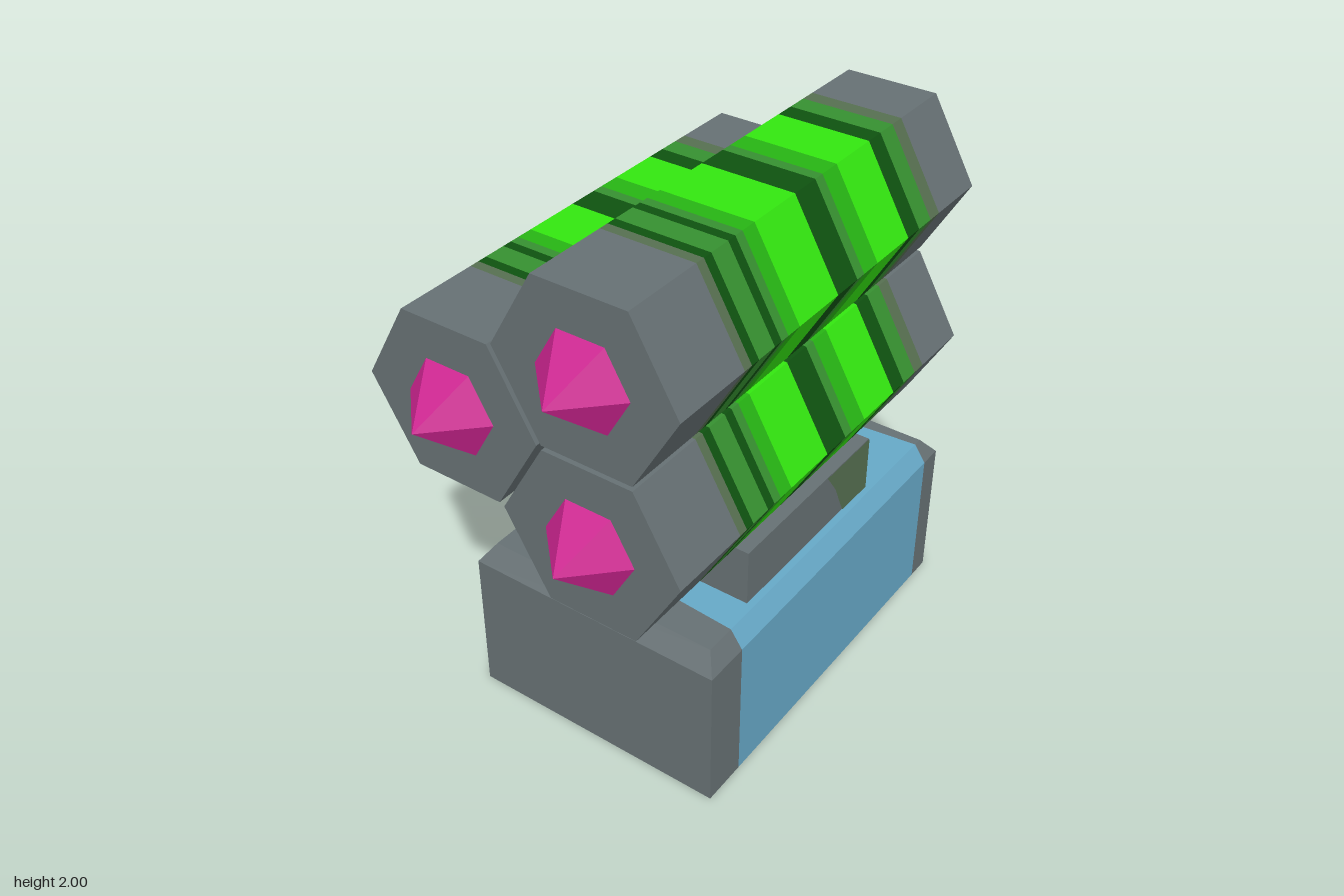
import * as THREE from 'three';

const paint = (name, color, extra = {}) => {
  const m = new THREE.MeshStandardMaterial({ color, flatShading: true, ...extra });
  m.name = name;
  return m;
};
const double = { side: THREE.DoubleSide };
const gray = paint('steel gray', 0x667073);
const shellGray = gray.clone();
shellGray.side = THREE.DoubleSide;
const blue = paint('sky blue', 0x66a8c6, double);
const bright = paint('bright green', 0x33e610);
const green = paint('leaf green', 0x27b414);
const mid = paint('mid green', 0x369030);
const dark = paint('dark green', 0x0f5210);
const olive = paint('olive', 0x566f50);
const pink = paint('magenta', 0xcc2490);

function add(parent, name, geometry, material) {
  const mesh = new THREE.Mesh(geometry, material);
  mesh.name = name;
  parent.add(mesh);
  return mesh;
}

// Flat faces from a list of four-cornered polygons
function quads(list) {
  const pos = [];
  for (const [a, b, c, d] of list) pos.push(...a, ...b, ...c, ...a, ...c, ...d);
  const g = new THREE.BufferGeometry();
  g.setAttribute('position', new THREE.Float32BufferAttribute(pos, 3));
  g.computeVertexNormals();
  return g;
}

const shapeOf = (pts) => new THREE.Shape(pts.map(([x, y]) => new THREE.Vector2(x, y)));

// Hollow base with a bevelled top, open below, blue across the middle
function makeBase() {
  const base = new THREE.Group();
  base.name = 'base';
  const profile = [[0.53, 0], [0.53, 0.555], [0.485, 0.62], [-0.405, 0.62], [-0.45, 0.555], [-0.45, 0]];
  const grid = profile.map(([z, y]) => {
    const inset = y > 0.6 ? 0.055 : 0;
    const xs = [-0.58 + inset, z > 0 ? -0.41 : -0.35, z > 0 ? 0.81 : 0.74, 0.9 - inset];
    return xs.map((x) => [x, y, z]);
  });
  const strip = (j) => grid.slice(1).map((row, i) => [grid[i][j], grid[i][j + 1], row[j + 1], row[j]]);
  const end = (j) => [[5, 0, 1, 4], [4, 1, 2, 3]].map((q) => q.map((i) => grid[i][j]));
  const flip = (list) => list.map((q) => [...q].reverse());
  add(base, 'basePanel', quads(strip(1)), blue);
  add(base, 'baseLeftEnd', quads([...strip(2), ...flip(end(3))]), shellGray);
  add(base, 'baseRightEnd', quads([...strip(0), ...end(0)]), shellGray);
  return base;
}

// Neck stepped to fit beneath the barrels, with wavy stripes on one side
function makeNeck() {
  const neck = new THREE.Group();
  neck.name = 'neck';
  const side = shapeOf([[0.46, 0.622], [0.46, 0.835], [0.08, 0.835], [-0.09, 1.12], [-0.38, 1.12], [-0.38, 0.622]]);
  const body = new THREE.ExtrudeGeometry(side, { depth: 0.76, bevelEnabled: false });
  add(neck, 'neckBody', body.rotateY(-Math.PI / 2).translate(0.48, 0, 0), gray);

  // Bands on the left side
  const slope = (y) => 0.08 - (y - 0.835) * 0.596;
  const bands = [[0.835, 0.935, dark], [0.935, 1.04, mid], [1.04, 1.068, dark], [1.068, 1.088, olive]];
  const sideFace = (pts, mat) => add(neck, 'neckSideStripe',
    new THREE.ShapeGeometry(shapeOf(pts.map(([z, y]) => [-z, y]))).rotateY(Math.PI / 2).translate(0.483, 0, 0), mat);
  sideFace([[0.46, 0.622], [0.46, 0.835], [-0.38, 0.835], [-0.38, 0.622]], olive);
  for (const [y0, y1, mat] of bands) sideFace([[slope(y0), y0], [slope(y1), y1], [-0.38, y1], [-0.38, y0]], mat);

  // Front corner patch
  add(neck, 'neckFrontPatch', new THREE.ShapeGeometry(shapeOf(
    [[0.48, 0.622], [0.48, 0.835], [0.2, 0.835], [0.26, 0.75], [0.3, 0.66], [0.32, 0.622]])).translate(0, 0, 0.463), olive);

  // Nested waves on the back
  const waves = [
    [olive, [[0.48, 0.622], [0.38, 0.63], [0.25, 0.7], [0.13, 0.8], [0, 0.9], [-0.1, 0.98], [-0.06, 1.02], [0.2, 1.07], [0.48, 1.088]]],
    [dark, [[0.48, 0.82], [0.38, 0.84], [0.3, 0.89], [0.24, 0.96], [0.28, 1.01], [0.37, 1.05], [0.48, 1.068]]],
    [mid, [[0.48, 0.935], [0.41, 0.95], [0.37, 0.985], [0.41, 1.02], [0.48, 1.04]]],
  ];
  waves.forEach(([mat, pts], i) => add(neck, 'neckBackWave', new THREE.ShapeGeometry(
    shapeOf(pts.map(([x, y]) => [-x, y]))).rotateY(Math.PI).translate(0, 0, -0.382 - 0.002 * i), mat));
  return neck;
}

// Six-sided barrel along x with coloured rings and a spike at each end
const R = 0.327, HALF = 0.82;
const rings = [
  [-0.82, gray], [-0.52, olive], [-0.485, dark], [-0.45, mid], [-0.37, dark], [-0.335, mid],
  [-0.3, green], [-0.24, bright], [-0.03, dark], [0.08, mid], [0.12, green], [0.2, bright],
  [0.39, dark], [0.46, mid], [0.535, olive], [0.59, gray], [HALF, null],
];
function makeBarrel(y, z) {
  const barrel = new THREE.Group();
  barrel.name = 'barrel';
  for (let i = 0; i < rings.length - 1; i++) {
    const [x0, mat] = rings[i];
    const x1 = rings[i + 1][0];
    const g = new THREE.CylinderGeometry(R, R, x1 - x0, 6, 1, true);
    add(barrel, 'barrelRing', g.rotateZ(-Math.PI / 2).translate((x0 + x1) / 2, 0, 0), mat);
  }
  for (const s of [-1, 1]) {
    const turn = s * Math.PI / 2;
    add(barrel, 'barrelEnd', new THREE.CircleGeometry(R, 6).rotateY(turn).translate(s * HALF, 0, 0), gray);
    const spike = new THREE.ConeGeometry(0.165, 0.167, 6, 1, true);
    add(barrel, 'spike', spike.rotateZ(-turn).translate(s * (HALF + 0.0835), 0, 0), pink);
  }
  barrel.position.set(0, y, z);
  return barrel;
}

export function createModel() {
  const model = new THREE.Group();
  model.name = 'barrelTurret';
  model.add(makeBase(), makeNeck());
  for (const [y, z] of [[1.717, 0.255], [1.134, 0.255], [1.425, -0.253]]) model.add(makeBarrel(y, z));
  return model;
}
